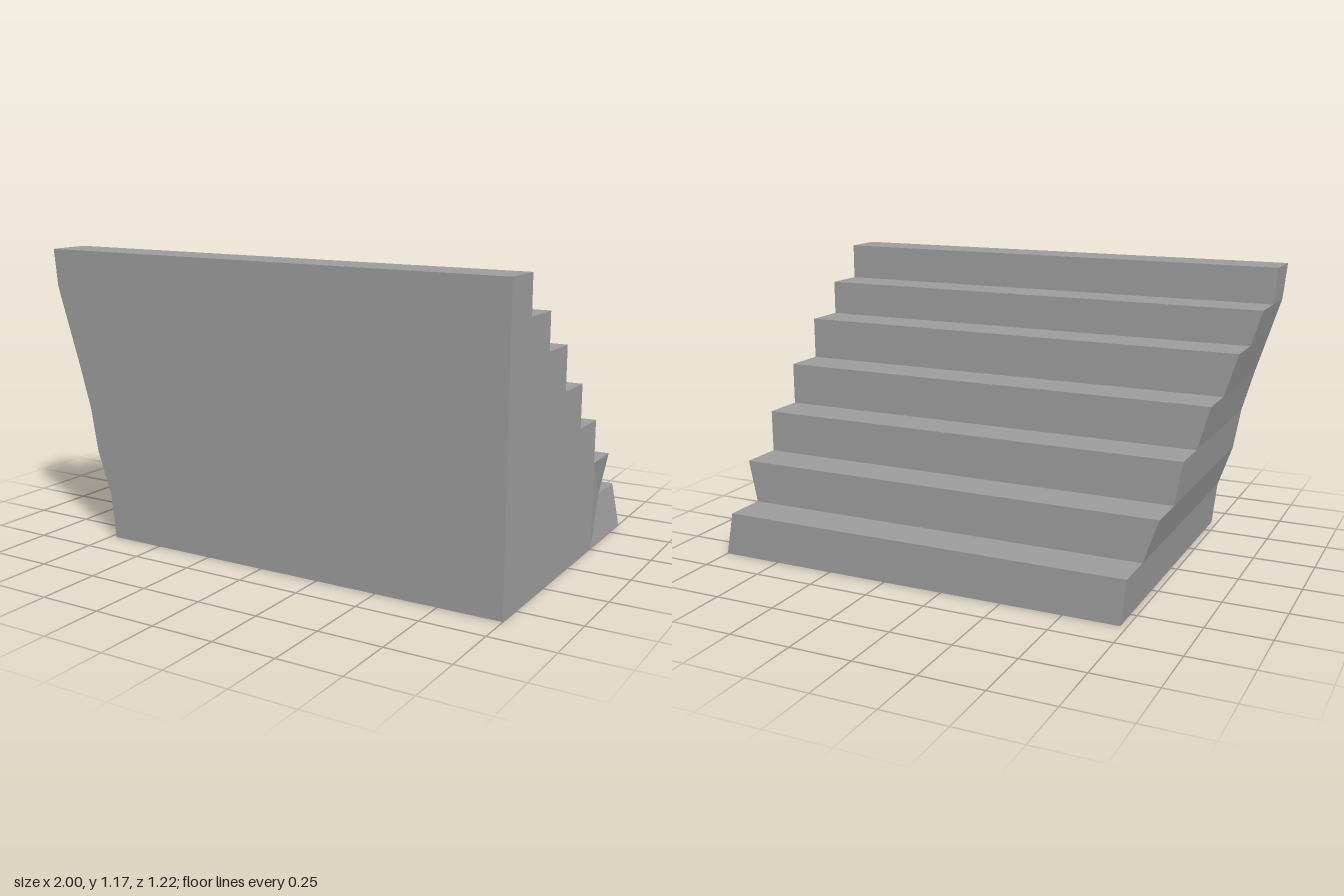
import * as THREE from 'three';

// Riser heights, tread depth edges (back to front) and the flared side's x at each height
const Y = [0, 0.18, 0.355, 0.53, 0.705, 0.88, 1.025, 1.175];
const Z = [-0.612, -0.438, -0.262, -0.088, 0.088, 0.264, 0.439, 0.612];
const FLARE = [-0.725, -0.745, -0.805, -0.835, -0.885, -0.94, -0.985, -1];
const STEPS = 7;

// Grid points on the two sides: j is the height level, k the depth edge
const flared = (j, k) => [FLARE[j], Y[j], Z[k]];
// The straight side is pinched in where the two lowest steps meet
const straight = (j, k) => [j === 1 && k <= 1 ? 0.965 : 1, Y[j], Z[k]];

function quadMesh(name, quads, material) {
  const positions = quads.flatMap(([a, b, c, d]) => [a, b, c, a, c, d].flat());
  const geometry = new THREE.BufferGeometry();
  geometry.setAttribute('position', new THREE.Float32BufferAttribute(positions, 3));
  geometry.computeVertexNormals();
  const mesh = new THREE.Mesh(geometry, material);
  mesh.name = name;
  return mesh;
}

export function createModel() {
  const stone = new THREE.MeshStandardMaterial({ color: 0x9b9b9b });
  stone.name = 'grey stone';
  const group = new THREE.Group();
  group.name = 'staircase';

  const F = STEPS;
  for (let i = 0; i < STEPS; i++) {
    const t = i + 1;
    const quads = [
      // riser
      [straight(i, i), flared(i, i), flared(t, i), straight(t, i)],
      // tread
      [flared(t, t), straight(t, t), straight(t, i), flared(t, i)],
      // front wall
      [flared(i, F), straight(i, F), straight(t, F), flared(t, F)],
      // flared side
      [flared(i, i), flared(i, F), flared(t, F), flared(t, i)],
    ];
    // straight side, split at each tread so the pinch blends out
    for (let k = i; k < F; k++) {
      const q = [straight(i, k + 1), straight(i, k), straight(t, k), straight(t, k + 1)];
      if (i === 1) q.push(q.shift());
      quads.push(q);
    }
    group.add(quadMesh(`step${t}`, quads, stone));
  }

  // underside
  group.add(quadMesh('base', [[flared(0, 0), straight(0, 0), straight(0, F), flared(0, F)]], stone));
  return group;
}
